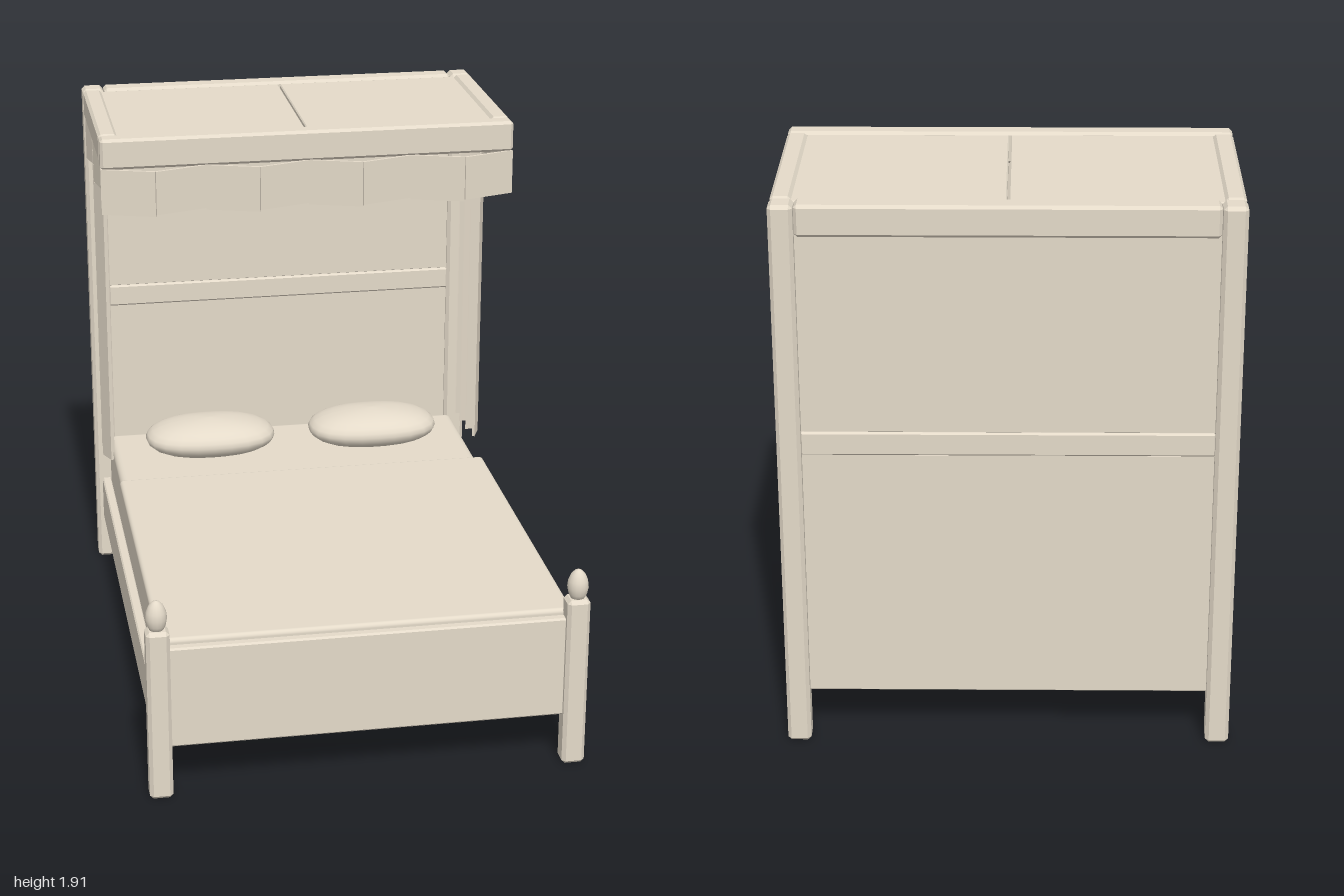
import * as THREE from 'three';
import { RoundedBoxGeometry } from 'three/addons/geometries/RoundedBoxGeometry.js';
import { ConvexGeometry } from 'three/addons/geometries/ConvexGeometry.js';

export function createModel() {
  const bed = new THREE.Group();
  bed.name = 'canopyBed';
  const beige = new THREE.MeshStandardMaterial({ color: 0xe4dac9 });
  beige.name = 'light beige';
  const grey = new THREE.MeshStandardMaterial({ color: 0x84807c });
  grey.name = 'dark base grey';

  function add(name, geometry, material = beige) {
    const mesh = new THREE.Mesh(geometry, material);
    mesh.name = name;
    bed.add(mesh);
    return mesh;
  }

  const place = (g, [x0, x1], [y0, y1], [z0, z1]) =>
    g.translate((x0 + x1) / 2, (y0 + y1) / 2, (z0 + z1) / 2);

  // Timber with flat chamfers, given by its limits on each axis
  function timber(name, xs, ys, zs, c = 0.01) {
    const [w, h, d] = [xs, ys, zs].map(([a, b]) => (b - a) / 2);
    const corners = [];
    for (const i of [-1, 1]) for (const j of [-1, 1]) for (const k of [-1, 1]) {
      corners.push(
        new THREE.Vector3(i * w, j * (h - c), k * (d - c)),
        new THREE.Vector3(i * (w - c), j * h, k * (d - c)),
        new THREE.Vector3(i * (w - c), j * (h - c), k * d));
    }
    return add(name, place(new ConvexGeometry(corners), xs, ys, zs));
  }

  // Bedding with rounded edges
  function cushion(name, xs, ys, zs, r) {
    const g = new RoundedBoxGeometry(xs[1] - xs[0], ys[1] - ys[0], zs[1] - zs[0], 3, r);
    return add(name, place(g, xs, ys, zs));
  }

  // Pleated cloth: thin upright panels between successive [x, z] points
  function pleats(name, points, y0, y1) {
    for (let i = 0; i + 1 < points.length; i++) {
      const [ax, az] = points[i];
      const [bx, bz] = points[i + 1];
      const bottom = y0 + (i % 2) * 0.006;
      const panel = add(name + (i + 1),
        new THREE.BoxGeometry(Math.hypot(bx - ax, bz - az), y1 - bottom, 0.01));
      panel.position.set((ax + bx) / 2, (bottom + y1) / 2, (az + bz) / 2);
      panel.rotation.y = Math.atan2(az - bz, bx - ax);
    }
  }

  // Pillow: a plump lens with a slightly squared plan
  function pillowGeometry() {
    const g = new THREE.SphereGeometry(1, 24, 14);
    const p = g.attributes.position;
    for (let i = 0; i < p.count; i++) {
      const x = p.getX(i), y = p.getY(i), z = p.getZ(i);
      const square = 1 + 0.07 * Math.sin(2 * Math.atan2(z, x)) ** 2;
      p.setXYZ(i, x * square * 0.247, y * 0.073, z * square * 0.152);
    }
    g.computeVertexNormals();
    return g;
  }

  // Egg-shaped finial profile
  const finialProfile = [[0, 0], [0.022, 0], [0.031, 0.018], [0.036, 0.042], [0.033, 0.065],
    [0.024, 0.087], [0.012, 0.1], [0, 0.105]].map(([r, y]) => new THREE.Vector2(r, y));

  // Parts mirrored on both sides
  for (const s of [-1, 1]) {
    const side = s > 0 ? 'left' : 'right';
    const span = (a, b) => (s > 0 ? [a, b] : [-b, -a]);
    const mirror = (points) => points.map(([x, z]) => [s * x, z]);

    timber(side + 'FrontPost', span(0.66, 0.738), [0, 0.61], [0.925, 1], 0.012);
    timber(side + 'BackPost', span(0.66, 0.738), [0, 1.91], [-1, -0.92], 0.012);
    add(side + 'Finial', new THREE.LatheGeometry(finialProfile, 16))
      .position.set(s * 0.7, 0.607, 0.962);
    timber(side + 'SideRail', span(0.68, 0.715), [0.18, 0.345], [-0.915, 0.925], 0.005);
    timber(side + 'CanopySideRail', span(0.67, 0.737), [1.81, 1.91], [-0.92, -0.29]);
    timber(side + 'CanopyPanel', span(0.003, 0.674), [1.865, 1.9], [-0.925, -0.285], 0.004);

    add(side + 'Pillow', pillowGeometry()).position.set(s * 0.315, 0.602, -0.665);

    // Side valance and hanging curtain
    pleats(side + 'SideValance', mirror([[0.728, -0.285], [0.7, -0.445], [0.728, -0.6],
      [0.7, -0.77], [0.728, -0.915]]), 1.645, 1.815);
    pleats(side + 'Curtain', mirror([[0.7, -0.575], [0.726, -0.635], [0.69, -0.65],
      [0.722, -0.72], [0.685, -0.735], [0.715, -0.8], [0.685, -0.815], [0.7, -0.88]]), 0.56, 1.8);
  }

  // Headboard
  timber('headboardLowerPanel', [-0.665, 0.665], [0.18, 1.055], [-0.965, -0.938], 0.004);
  timber('headboardMiddleRail', [-0.664, 0.664], [1.052, 1.133], [-0.972, -0.928], 0.006);
  timber('headboardUpperPanel', [-0.665, 0.665], [1.13, 1.82], [-0.965, -0.938], 0.004);
  timber('headboardTopRail', [-0.658, 0.658], [1.805, 1.91], [-0.996, -0.922]);

  // Footboard and canopy front
  timber('footboard', [-0.665, 0.665], [0.18, 0.54], [0.942, 0.977], 0.006);
  timber('canopyFrontRail', [-0.737, 0.737], [1.8, 1.91], [-0.288, -0.222]);
  const frontFolds = [];
  for (let i = 0; i <= 8; i++) frontFolds.push([-0.735 + i * 0.18375, i % 2 ? -0.173 : -0.23]);
  pleats('frontValance', frontFolds, 1.64, 1.803);

  // Bedding on its base board
  cushion('mattress', [-0.682, 0.682], [0.31, 0.525], [-0.915, 0.925], 0.025);
  cushion('blanket', [-0.692, 0.692], [0.388, 0.557], [-0.388, 0.94], 0.015);
  add('bedBase', place(new THREE.BoxGeometry(1.364, 0.008, 1.856),
    [-0.682, 0.682], [0.304, 0.312], [-0.92, 0.936]), grey);

  return bed;
}
